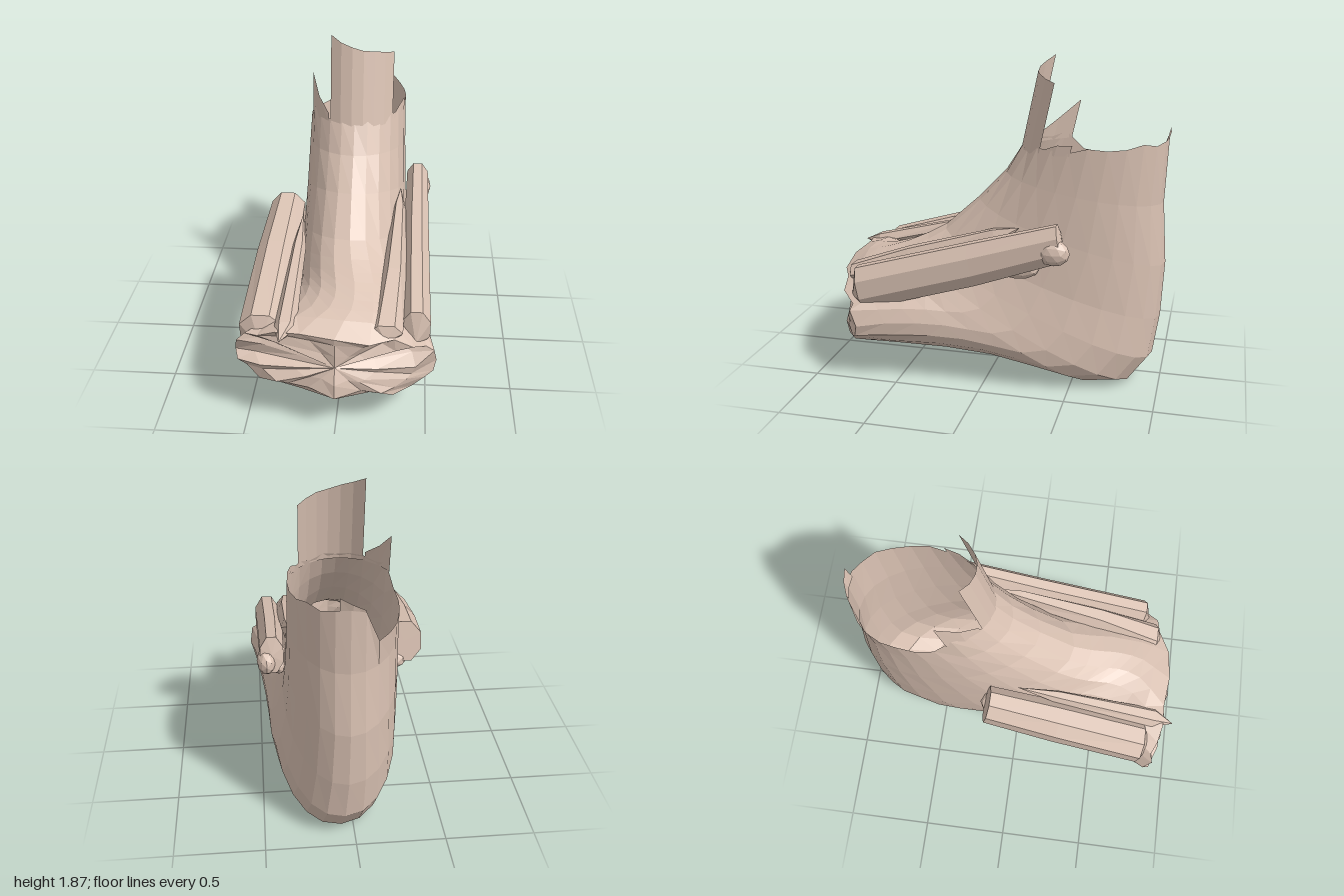
import * as THREE from 'three';

const skin = new THREE.MeshStandardMaterial({ color: 0xdac2b3, flatShading: true, side: THREE.DoubleSide });
skin.name = 'skin';

const SIDES = 24;
// Each section: instep z, y, sole z, y, least x, greatest x, roundness power
const SECTIONS = [
  [-0.16, 1.38, -0.99, 1.44, -0.26, 0.33, 1],
  [-0.06, 1.22, -0.975, 1.08, -0.265, 0.335, 1],
  [0.10, 1.05, -1.0, 0.72, -0.275, 0.345, 1],
  [0.31, 0.86, -0.985, 0.40, -0.285, 0.365, 0.95],
  [0.42, 0.80, -0.95, 0.16, -0.29, 0.40, 0.92],
  [0.50, 0.765, -0.84, 0.015, -0.29, 0.43, 0.92],
  [0.56, 0.74, -0.64, 0.0, -0.285, 0.45, 0.92],
  [0.62, 0.72, -0.40, 0.055, -0.285, 0.46, 0.95],
  [0.68, 0.70, -0.12, 0.12, -0.30, 0.475, 0.95],
  [0.75, 0.68, 0.20, 0.16, -0.34, 0.495, 0.92],
  [0.82, 0.66, 0.56, 0.18, -0.43, 0.52, 0.87],
  [0.93, 0.61, 0.90, 0.22, -0.55, 0.55, 0.8],
];

const pw = (v, p) => Math.sign(v) * Math.abs(v) ** p;

// Point on a section; angle 0 is the instep, positive angles turn to +x
function sectionPoint(index, a) {
  const [zt, yt, zb, yb, x0, x1, p] = SECTIONS[index];
  const c = pw(Math.cos(a), p), s = pw(Math.sin(a), p);
  const dx = (x1 - x0) / 2 * s;
  const t = index / (SECTIONS.length - 1);
  return new THREE.Vector3((x0 + x1) / 2 + dx,
    (yt + yb) / 2 + c * (yt - yb) / 2 - 0.1 * t * dx,
    (zt + zb) / 2 + c * (zt - zb) / 2 - t ** 3 * s * s * (s > 0 ? 0.19 : 0.07));
}

// Skin a list of rings of equal length
function loft(rings, closed, name) {
  const n = rings[0].length, index = [];
  for (let i = 0; i + 1 < rings.length; i++) {
    for (let j = 0; j < (closed ? n : n - 1); j++) {
      const k = (j + 1) % n, a = i * n, b = a + n;
      index.push(a + j, b + j, b + k, a + j, b + k, a + k);
    }
  }
  const geometry = new THREE.BufferGeometry().setFromPoints(rings.flat());
  geometry.setIndex(index);
  geometry.computeVertexNormals();
  const mesh = new THREE.Mesh(geometry, skin);
  mesh.name = name;
  return mesh;
}

// Faceted bar with closed ends; stations are [x, y, z, radiusX, radiusY]
function bar(stations, sides, name) {
  const rings = stations.map(([x, y, z, rx, ry]) =>
    Array.from({ length: sides }, (_, j) => {
      const a = (j + 0.5) / sides * Math.PI * 2;
      return new THREE.Vector3(x + rx * Math.sin(a), y + ry * Math.cos(a), z + 0.2 * ry * Math.cos(a));
    }));
  return loft(rings, true, name);
}

// Torn strip standing on the ankle rim
function shard(a0, a1, heights, name) {
  const low = [], high = [];
  heights.forEach((h, i) => {
    const p = sectionPoint(0, a0 + (a1 - a0) * i / (heights.length - 1));
    low.push(p.clone().add(new THREE.Vector3(0, -0.03, 0.01)));
    high.push(p.add(new THREE.Vector3(0, h, -0.2 * h)));
  });
  return loft([high, low], false, name);
}

function knob(x, y, z, sx, sy, sz, name) {
  const mesh = new THREE.Mesh(new THREE.IcosahedronGeometry(1, 1), skin);
  mesh.position.set(x, y, z);
  mesh.scale.set(sx, sy, sz);
  mesh.name = name;
  return mesh;
}

export function createModel() {
  const group = new THREE.Group();
  group.name = 'brokenFoot';

  // Hollow ankle, heel and instep, with a lower rim on the right rear
  const rings = SECTIONS.map((_, i) => Array.from({ length: SIDES }, (_, j) => {
    const a = j / SIDES * Math.PI * 2;
    const p = sectionPoint(i, a);
    if (i === 0 && a > Math.PI * 1.1 && a < Math.PI * 1.64) p.y -= 0.2 - 0.02 * (j - 14);
    if (i === 0) p.y += 0.012 * Math.sin(j * 2.3);
    return p;
  }));
  const edge = rings[rings.length - 1];
  edge.forEach((p, j) => { p.z += 0.02 * Math.sin(j * 2.7); p.y += 0.015 * Math.sin(j * 4.1); });
  group.add(loft(rings, true, 'foot'));

  // Rough broken toe end: a bulging lower lip around a shallow hollow
  const centre = new THREE.Vector3(0, 0.42, 0.92);
  const inset = (amount, bulge) => edge.map((p, j) => {
    const q = p.clone().lerp(centre, amount + 0.04 * Math.sin(j * 3.1));
    q.z += (q.y < 0.42 ? bulge : -bulge / 2) + 0.012 * Math.cos(j * 2.1);
    return q;
  });
  group.add(loft([edge, inset(0.22, 0.04), inset(0.6, 0.03), edge.map(() => centre)], true, 'toeEnd'));

  // Torn shin pieces above the rim
  group.add(shard(-0.52, 0.85, [0.49, 0.46, 0.44, 0.42, 0.41, 0.39, 0.37], 'shinPlate'));
  group.add(shard(-1.15, -0.56, [0.2, 0.1, 0.03], 'rightShinShard'));
  group.add(shard(0.9, 1.35, [0.0, 0.03, 0.03], 'leftShinShard'));
  group.add(shard(2.95, 3.4, [0.08, 0.04, 0.0], 'heelShard'));

  // Side bars running from the ankle to the toes
  group.add(bar([
    [0.42, 0.91, -0.46, 0, 0], [0.42, 0.91, -0.45, 0.07, 0.11], [0.42, 0.75, 0.05, 0.08, 0.13],
    [0.43, 0.555, 0.72, 0.085, 0.135], [0.43, 0.50, 0.78, 0, 0],
  ], 8, 'leftBar'));
  group.add(bar([
    [0.32, 0.95, -0.2, 0, 0], [0.315, 0.87, -0.06, 0.04, 0.07], [0.30, 0.71, 0.45, 0.07, 0.08],
    [0.27, 0.59, 0.82, 0.09, 0.06], [0.27, 0.56, 0.86, 0, 0],
  ], 6, 'leftInnerBar'));
  group.add(bar([
    [-0.37, 0.80, -0.17, 0, 0], [-0.37, 0.80, -0.17, 0.11, 0.13], [-0.39, 0.69, 0.25, 0.125, 0.14],
    [-0.41, 0.54, 0.78, 0.13, 0.13], [-0.41, 0.5, 0.85, 0, 0],
  ], 8, 'rightBar'));
  group.add(bar([
    [-0.26, 0.86, 0.0, 0, 0], [-0.26, 0.77, 0.25, 0.04, 0.05],
    [-0.27, 0.62, 0.85, 0.06, 0.05], [-0.29, 0.61, 0.97, 0, 0],
  ], 6, 'rightInnerBar'));

  // Bony lumps at the bar ends
  group.add(knob(0.45, 0.86, -0.42, 0.055, 0.075, 0.09, 'leftBarKnob'));
  group.add(knob(0.38, 0.74, -0.2, 0.06, 0.07, 0.13, 'leftAnkleLump'));
  group.add(knob(-0.32, 0.68, -0.1, 0.08, 0.07, 0.12, 'rightAnkleLump'));

  return group;
}
